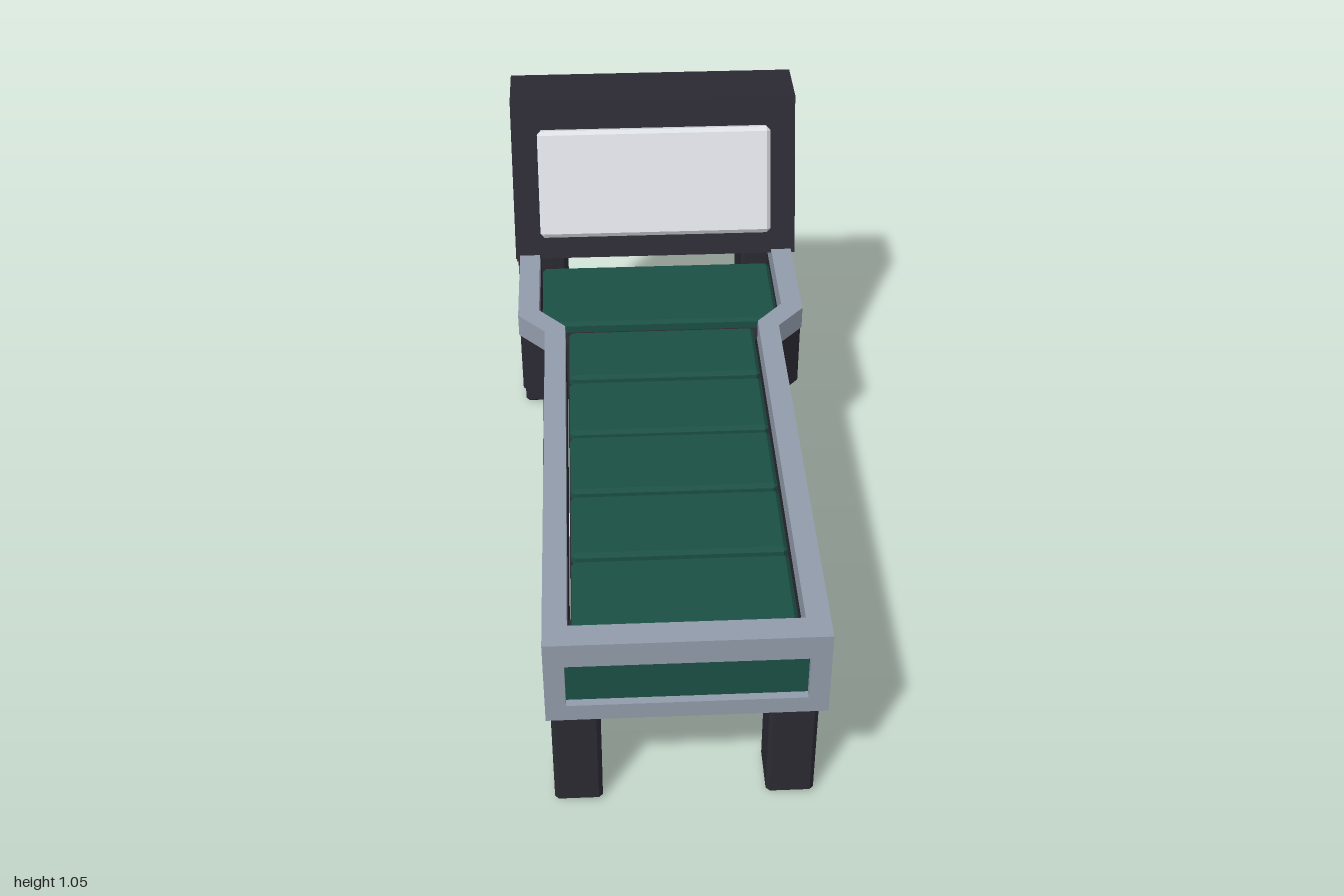
import * as THREE from 'three';
import { ConvexGeometry } from 'three/addons/geometries/ConvexGeometry.js';

const material = (name, color) => new THREE.MeshStandardMaterial({ name, color });

// Box with chamfered edges, centred on the origin
function chamferBox(w, h, d, b) {
  const pts = [];
  for (const sx of [-1, 1]) for (const sy of [-1, 1]) for (const sz of [-1, 1]) {
    const x = w / 2, y = h / 2, z = d / 2;
    pts.push(new THREE.Vector3(sx * x, sy * (y - b), sz * (z - b)));
    pts.push(new THREE.Vector3(sx * (x - b), sy * y, sz * (z - b)));
    pts.push(new THREE.Vector3(sx * (x - b), sy * (y - b), sz * z));
  }
  return new ConvexGeometry(pts);
}

// Plan outline given as x, z points, filling y0 to y1
function planGeometry(points, y0, y1) {
  const shape = new THREE.Shape(points.map(([x, z]) => new THREE.Vector2(x, z)));
  const geo = new THREE.ExtrudeGeometry(shape, { depth: y1 - y0, bevelEnabled: false });
  return geo.rotateX(Math.PI / 2).translate(0, y1, 0);
}

function rectPath(path, x, y0, y1) {
  return path.moveTo(-x, y0).lineTo(x, y0).lineTo(x, y1).lineTo(-x, y1).closePath();
}

export function createModel() {
  const group = new THREE.Group();
  const dark = material('charcoal', 0x2b2a33);
  const trim = material('steel grey', 0x929cab);
  const green = material('deep green', 0x1c5045);
  const pale = material('pale screen', 0xdcdfe5);
  const red = material('red', 0xd80a0c);

  const add = (name, geo, mat) => {
    const mesh = new THREE.Mesh(geo, mat);
    mesh.name = name;
    group.add(mesh);
    return mesh;
  };
  // Box from its extents, optionally chamfered
  const box = (name, mat, [x0, x1], [y0, y1], [z0, z1], b = 0) => {
    const s = [x1 - x0, y1 - y0, z1 - z0];
    const geo = b ? chamferBox(...s, b) : new THREE.BoxGeometry(...s);
    return add(name, geo.translate((x0 + x1) / 2, (y0 + y1) / 2, (z0 + z1) / 2), mat);
  };

  for (const [side, s] of [['left', 1], ['right', -1]]) {
    const span = (a, b) => (s > 0 ? [a, b] : [-b, -a]);
    const outline = (inset) => [
      [0.333 - inset, 0.935], [0.333 - inset, -0.26], [0.41 - inset, -0.345], [0.41 - inset, -0.765],
      [0.35, -0.765], [0.35, -0.37], [0.275, -0.285], [0.275, 0.935],
    ].map(([x, z]) => [s * x, z]);

    // Flared side walls and their top rails
    add(side + 'SideWall', planGeometry(outline(0.004), 0.365, 0.553), dark);
    add(side + 'TopRail', planGeometry(outline(0), 0.553, 0.62), trim);

    // Legs
    box(side + 'FrontLeg', dark, span(0.205, 0.325), [0, 0.5], [0.78, 0.92], 0.01);
    box(side + 'RearLeg', dark, span(0.27, 0.421), [0, 0.615], [-0.999, -0.763], 0.01);

    // Side door, handle and leg marker
    box(side + 'Door', dark, span(0.325, 0.338), [0.385, 0.538], [-0.205, 0.3]);
    box(side + 'DoorHandle', red, span(0.336, 0.34), [0.437, 0.465], [0.18, 0.3]);
    box(side + 'LegMarker', red, span(0.4235, 0.428), [0.5, 0.563], [-0.855, -0.828]);
  }

  // Beds under the green panels
  box('bed', dark, [-0.268, 0.268], [0.372, 0.555], [-0.34, 0.935]);
  add('rearBed', planGeometry([
    [-0.268, -0.285], [0.268, -0.285], [0.335, -0.355], [0.335, -0.655], [-0.335, -0.655], [-0.335, -0.355],
  ], 0.37, 0.553), dark);

  // Row of deck panels and the wide rear one
  for (const [z0, z1] of [[0.67, 0.905], [0.425, 0.655], [0.18, 0.41], [-0.065, 0.165], [-0.31, -0.085]])
    box('deckPanel', green, [-0.265, 0.265], [0.535, 0.584], [z0, z1], 0.01);
  box('rearDeckPanel', green, [-0.342, 0.342], [0.535, 0.584], [-0.657, -0.35], 0.01);

  // Front frame with recessed panel
  const frame = rectPath(new THREE.Shape(), 0.333, 0.378, 0.62);
  frame.holes.push(rectPath(new THREE.Path(), 0.284, 0.425, 0.552));
  add('frontFrame', new THREE.ExtrudeGeometry(frame, { depth: 0.065, bevelEnabled: false }).translate(0, 0, 0.935), trim);
  box('frontPanel', green, [-0.29, 0.29], [0.42, 0.56], [0.94, 0.98]);

  // Lower cabinet, its front plate and tray
  box('lowerCabinet', dark, [-0.24, 0.24], [0.22, 0.45], [-0.35, 0.597]);
  box('cabinetPlate', dark, [-0.18, 0.18], [0.257, 0.345], [0.597, 0.606]);
  box('tray', trim, [-0.27, 0.27], [0.194, 0.225], [-0.385, 0.63]);

  // Head cabinet with sloping front
  const profile = new THREE.Shape([[1, 0.61], [1, 1.053], [0.828, 1.053], [0.666, 0.61]]
    .map(([x, y]) => new THREE.Vector2(x, y)));
  const head = new THREE.ExtrudeGeometry(profile, { depth: 0.844, bevelEnabled: false });
  add('headCabinet', head.rotateY(Math.PI / 2).translate(-0.422, 0, 0), dark);

  // Tilted screen
  const screen = add('screen', chamferBox(0.69, 0.318, 0.05, 0.012), pale);
  screen.position.set(0, 0.832, -0.725);
  screen.rotation.x = -0.347;

  return group;
}
